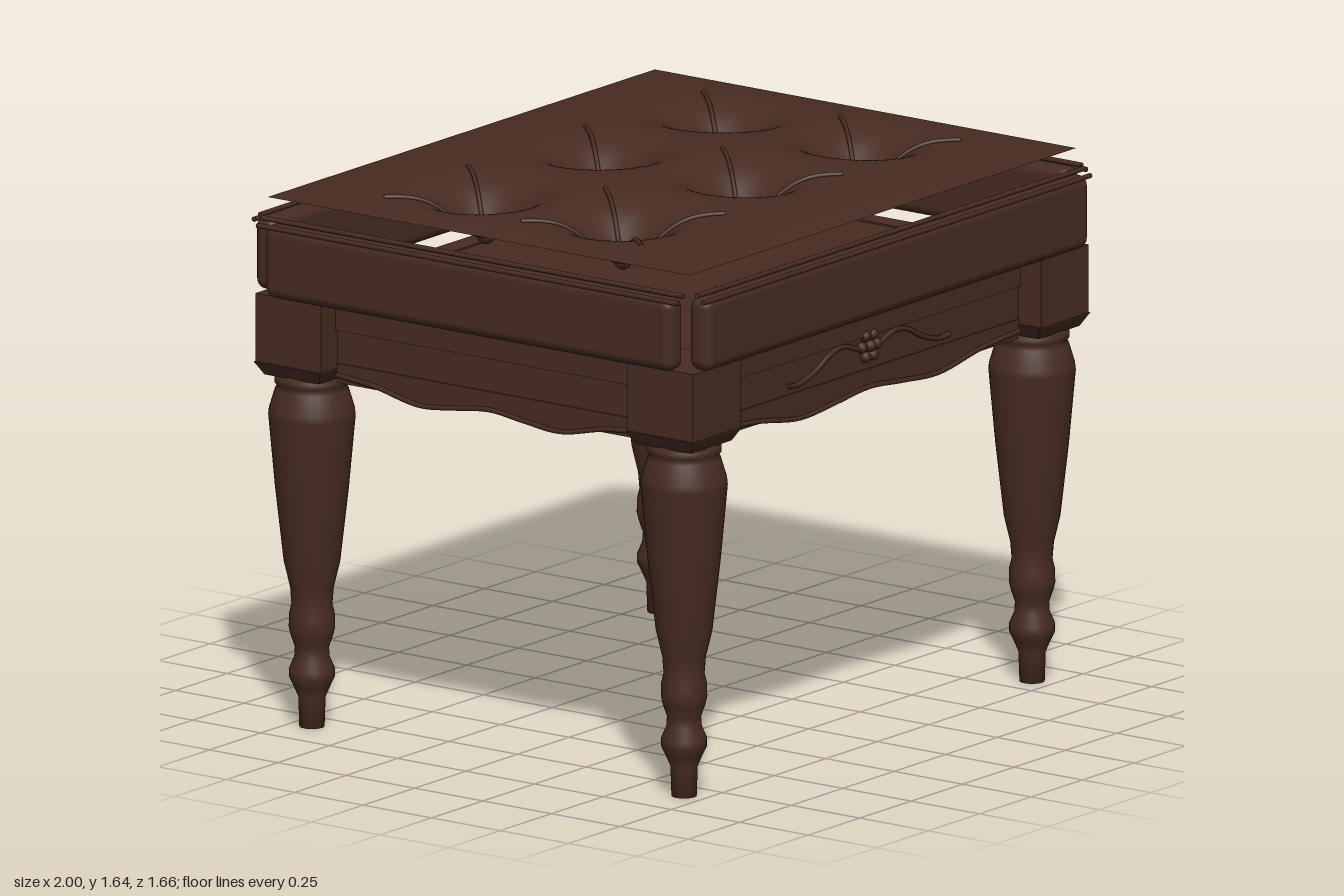
import * as THREE from 'three';
import { RoundedBoxGeometry } from 'three/addons/geometries/RoundedBoxGeometry.js';

const brown = new THREE.MeshStandardMaterial({ color: 0x472b21, side: THREE.DoubleSide });
brown.name = 'darkBrown';

const LEG_X = 0.845, LEG_Z = 0.68;
const BUTTONS = [];
for (const x of [-0.57, 0, 0.57]) for (const z of [-0.25, 0.25]) BUTTONS.push([x, z]);

// Height of the tufted top: a low crown with a deep dimple at every button
function seatHeight(x, z) {
  const crown = Math.cos((x / 0.94) * Math.PI / 2) * Math.cos((z / 0.77) * Math.PI / 2);
  let y = 1.6 + 0.036 * Math.pow(Math.max(crown, 0), 0.7);
  for (const [bx, bz] of BUTTONS) {
    y -= 0.14 * Math.exp(-((x - bx) ** 2 + (z - bz) ** 2) / 0.017);
  }
  return y;
}

function add(parent, name, geometry, x = 0, y = 0, z = 0) {
  const mesh = new THREE.Mesh(geometry, brown);
  mesh.name = name;
  mesh.position.set(x, y, z);
  parent.add(mesh);
  return mesh;
}

function tube(points, radius, segments = 32) {
  const curve = new THREE.CatmullRomCurve3(points.map(p => new THREE.Vector3(...p)));
  return new THREE.TubeGeometry(curve, segments, radius, 6, false);
}

// Turned leg with a square block on top
function makeLeg() {
  const leg = new THREE.Group();
  leg.name = 'leg';
  const profile = [
    [0, 0], [0.037, 0], [0.04, 0.09], [0.055, 0.125], [0.067, 0.15], [0.067, 0.175],
    [0.052, 0.21], [0.05, 0.24], [0.062, 0.275], [0.068, 0.3], [0.067, 0.34],
    [0.06, 0.37], [0.064, 0.42], [0.083, 0.5], [0.108, 0.72], [0.128, 0.94],
    [0.126, 0.96], [0.108, 1.02], [0.1, 1.03], [0.11, 1.04], [0.11, 1.055], [0.1, 1.07], [0, 1.07],
  ].map(p => new THREE.Vector2(...p));
  add(leg, 'turnedPost', new THREE.LatheGeometry(profile, 32));
  add(leg, 'block', new THREE.BoxGeometry(0.23, 0.21, 0.24), 0, 1.205, 0);
  const taper = new THREE.CylinderGeometry(0.172, 0.14, 0.04, 4, 1).rotateY(Math.PI / 4).toNonIndexed();
  taper.computeVertexNormals();
  add(leg, 'blockTaper', taper, 0, 1.085, 0);
  return leg;
}

// Apron rail with raised band, scalloped lower edge and wavy bead; faces +z
function makeApron(half) {
  const apron = new THREE.Group();
  apron.name = 'apron';
  add(apron, 'rail', new THREE.BoxGeometry(half * 2, 0.16, 0.05), 0, 1.14, 0);
  add(apron, 'upperBand', new THREE.BoxGeometry(half * 2, 0.08, 0.066), 0, 1.26, 0.002);
  const wave = [];
  for (const [t, y] of [[-1, 1.085], [-0.75, 1.072], [-0.46, 1.04], [-0.22, 1.052], [0, 1.066],
    [0.22, 1.052], [0.46, 1.04], [0.75, 1.072], [1, 1.085]]) wave.push([t * half, y, 0.03]);
  add(apron, 'wavyBead', tube(wave, 0.008, 48));
  const shape = new THREE.Shape();
  shape.moveTo(half, 1.12);
  shape.lineTo(-half, 1.12);
  shape.lineTo(wave[0][0], wave[0][1]);
  shape.splineThru(wave.slice(1).map(p => new THREE.Vector2(p[0], p[1])));
  const scallop = new THREE.ExtrudeGeometry(shape, { depth: 0.012, bevelEnabled: false, curveSegments: 40 });
  add(apron, 'scallop', scallop, 0, 0, 0.018);
  return apron;
}

// Padded side roll with two lines of piping; faces +z
function makeSideRoll(length, pipingLength, thickness) {
  const roll = new THREE.Group();
  roll.name = 'sideRoll';
  add(roll, 'padding', new RoundedBoxGeometry(length, 0.222, thickness, 4, 0.032), 0, 1.422, 0);
  for (const [y, z] of [[1.543, 0.005], [1.525, 0.028]]) {
    const piping = new THREE.CylinderGeometry(0.008, 0.008, pipingLength, 8).rotateZ(Math.PI / 2);
    add(roll, 'piping', piping, 0, y, z);
  }
  return roll;
}

export function createModel() {
  const model = new THREE.Group();
  model.name = 'tuftedStool';

  for (const sx of [-1, 1]) for (const sz of [-1, 1]) {
    const leg = makeLeg();
    leg.position.set(sx * LEG_X, 0, sz * LEG_Z);
    model.add(leg);
  }

  // Aprons and padded rolls on all four sides
  for (let i = 0; i < 4; i++) {
    const side = new THREE.Group();
    side.name = ['front', 'left', 'back', 'right'][i] + 'Side';
    side.rotation.y = i * Math.PI / 2;
    const along = i % 2 === 0;
    const apron = makeApron(along ? 0.73 : 0.56);
    apron.position.z = along ? 0.69 : 0.855;
    const roll = along ? makeSideRoll(1.86, 1.88, 0.078) : makeSideRoll(1.49, 1.54, 0.075);
    roll.position.z = along ? 0.793 : 0.9625;
    side.add(apron, roll);
    model.add(side);
  }

  add(model, 'seatBoard', new THREE.BoxGeometry(1.68, 0.02, 1.35), 0, 1.285, 0);

  // Tufted top
  const top = new THREE.PlaneGeometry(1.88, 1.54, 110, 90).rotateX(-Math.PI / 2);
  const pos = top.attributes.position;
  for (let i = 0; i < pos.count; i++) pos.setY(i, seatHeight(pos.getX(i), pos.getZ(i)));
  top.computeVertexNormals();
  add(model, 'tuftedTop', top);

  // Buttons and the diagonal creases running out of them
  for (const [bx, bz] of BUTTONS) {
    add(model, 'button', new THREE.SphereGeometry(0.027, 16, 10), bx, seatHeight(bx, bz) + 0.008, bz);
    for (const sx of [-1, 1]) for (const sz of [-1, 1]) {
      if (sx < 0 && bx > -0.5) continue;
      if (sz > 0 && bz < 0) continue;
      const points = [];
      for (let k = 0; k <= 8; k++) {
        const x = bx + sx * 0.205 * k / 8, z = bz + sz * 0.22 * k / 8;
        points.push([x, seatHeight(x, z) + 0.003, z]);
      }
      add(model, 'crease', tube(points, 0.007, 20));
    }
  }

  // Carved scrolls and rosette on the front apron
  const ornament = new THREE.Group();
  ornament.name = 'frontOrnament';
  ornament.position.z = 0.72;
  for (const s of [-1, 1]) {
    add(ornament, 'scroll', tube([[0.39, 1.145], [0.34, 1.143], [0.26, 1.165], [0.19, 1.2],
      [0.13, 1.212], [0.07, 1.195], [0.03, 1.18]].map(([x, y]) => [s * x, y, 0]), 0.008));
  }
  for (let k = 0; k < 6; k++) {
    const a = k * Math.PI / 3;
    add(ornament, 'petal', new THREE.SphereGeometry(0.017, 12, 8),
      Math.cos(a) * 0.036, 1.19 + Math.sin(a) * 0.036, 0);
  }
  add(ornament, 'rosetteCentre', new THREE.SphereGeometry(0.018, 12, 8), 0, 1.19, 0.005);
  model.add(ornament);

  return model;
}
